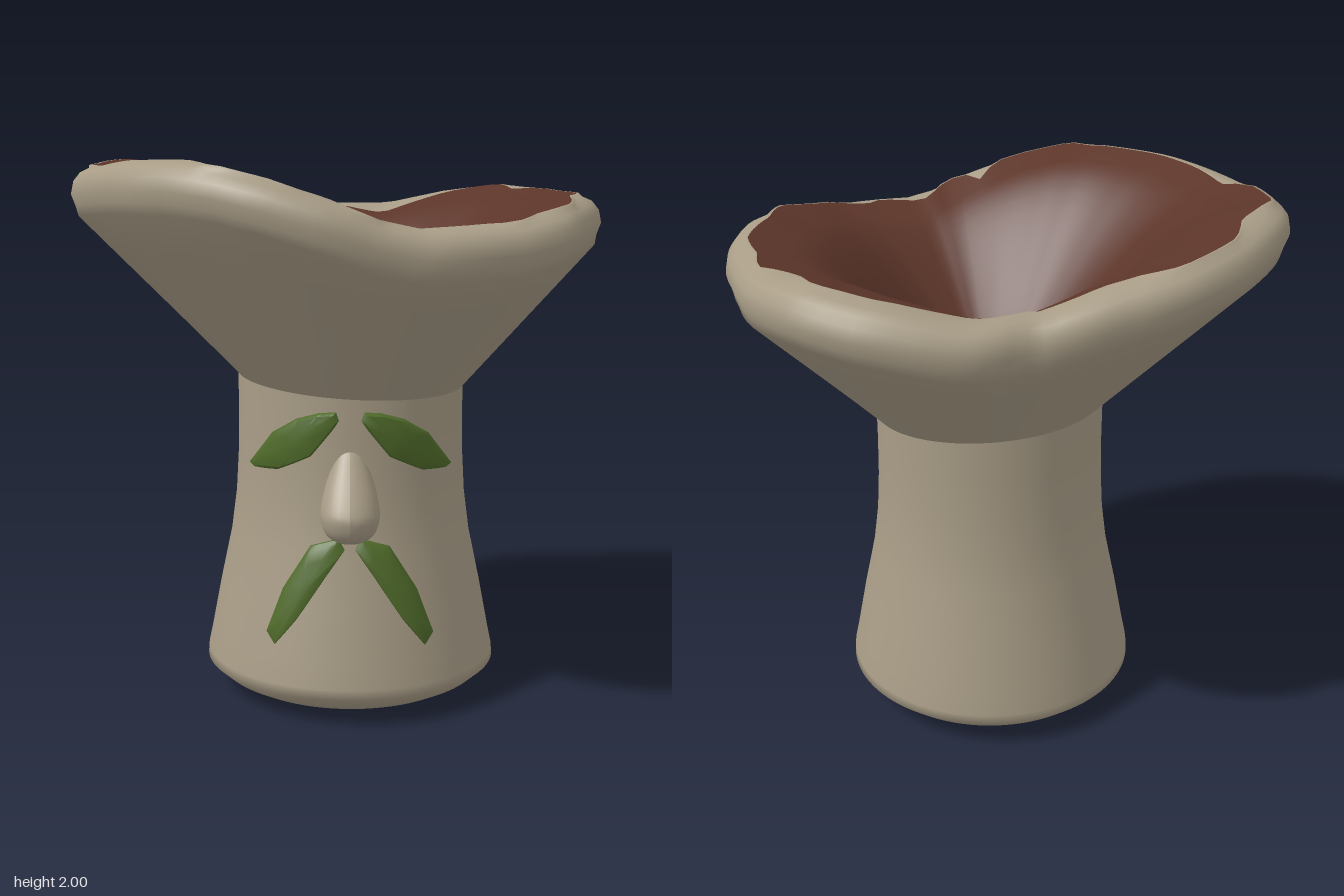
import * as THREE from 'three';
import { toCreasedNormals } from 'three/addons/utils/BufferGeometryUtils.js';

const SEG = 108;
const CX = 0.06; // stem axis
const clay = new THREE.MeshStandardMaterial({ color: 0xa89c86 });
const soil = new THREE.MeshStandardMaterial({ color: 0x5c3529 });
const green = new THREE.MeshStandardMaterial({ color: 0x4f6a2a });

// Closed rings of [x, y, z], running counter-clockwise about the direction of travel
function loft(rings) {
  const n = rings[0].length, index = [];
  for (let i = 0; i < rings.length - 1; i++) {
    for (let j = 0; j < n; j++) {
      const a = i * n + j, b = i * n + (j + 1) % n;
      index.push(a, b, b + n, a, b + n, a + n);
    }
  }
  const g = new THREE.BufferGeometry();
  g.setAttribute('position', new THREE.Float32BufferAttribute(rings.flat(2), 3));
  g.setIndex(index);
  g.computeVertexNormals();
  return g;
}

function addMesh(parent, name, geometry, material) {
  const mesh = new THREE.Mesh(geometry, material);
  mesh.name = name;
  parent.add(mesh);
}

const TAU = Math.PI * 2;
const ring = (fn) => Array.from({ length: SEG }, (_, j) => fn(j / SEG * TAU));
const lerp = THREE.MathUtils.lerp;

// Value at an angle from a list of [angle, value], wrapping round
function around(list) {
  const s = list.map(([a, v]) => [(a + TAU) % TAU, v]).sort((p, q) => p[0] - q[0]);
  const last = s[s.length - 1];
  const all = [[last[0] - TAU, last[1]], ...s, [s[0][0] + TAU, s[0][1]]];
  return (t) => {
    const i = Math.max(1, all.findIndex((p) => p[0] > t));
    const [a, b] = [all[i - 1], all[i]];
    return lerp(a[1], b[1], (t - a[0]) / (b[0] - a[0]));
  };
}
const polar = (pts) => around(pts.map(([x, z]) => [Math.atan2(-z, x), Math.hypot(x, z)]));

// Rim outline, ragged soil edge (both x, z) and rim height by angle
const rimRadius = polar([
  [0.05, -0.89], [0.19, -0.94], [0.32, -0.94], [0.55, -0.89], [0.74, -0.77], [0.9, -0.52],
  [0.95, -0.3], [0.98, 0], [0.95, 0.2], [0.9, 0.36], [0.78, 0.6], [0.62, 0.74], [0.44, 0.83],
  [0.2, 0.89], [0, 0.93], [-0.2, 0.91], [-0.35, 0.86], [-0.55, 0.74], [-0.75, 0.55],
  [-0.88, 0.34], [-0.96, 0.1], [-0.98, -0.05], [-0.97, -0.22], [-0.9, -0.41], [-0.76, -0.6],
  [-0.49, -0.8], [-0.25, -0.86]]);
const soilRadius = polar([
  [0, -0.75], [0.2, -0.72], [0.5, -0.76], [0.68, -0.67], [0.72, -0.52], [0.85, -0.42], [0.86, -0.25],
  [0.9, -0.05], [0.83, 0.22], [0.8, 0.45], [0.67, 0.57], [0.62, 0.65], [0.47, 0.67], [0.42, 0.72],
  [0.2, 0.75], [0.14, 0.86], [0.06, 0.86], [0.02, 0.75], [-0.04, 0.78], [-0.06, 0.86], [-0.2, 0.83],
  [-0.41, 0.77], [-0.42, 0.69], [-0.6, 0.55], [-0.77, 0.3], [-0.82, 0.08], [-0.9, 0], [-0.89, -0.25],
  [-0.72, -0.45], [-0.66, -0.6], [-0.45, -0.74], [-0.2, -0.72]]);
const rimHeight = around([
  [0, 1.87], [25, 1.88], [45, 1.9], [60, 1.87], [75, 1.82], [90, 1.82], [105, 1.88], [125, 1.94],
  [145, 1.985], [158, 2], [170, 1.98], [190, 1.965], [215, 1.985], [235, 1.985], [246, 1.965], [257, 1.925],
  [270, 1.86], [280, 1.8], [290, 1.77], [310, 1.785], [330, 1.84], [345, 1.865]].map(([d, v]) => [d * Math.PI / 180, v]));

// Stem half-widths by height: [radius, y]
const stemProfile = [[0, 0], [0.25, 0.012], [0.45, 0.03], [0.505, 0.06], [0.555, 0.105], [0.552, 0.14],
  [0.535, 0.22], [0.5, 0.4], [0.457, 0.6], [0.437, 0.75], [0.428, 0.9], [0.425, 1.05], [0.425, 1.26]];
function stemRadius(y) {
  const i = stemProfile.findIndex((p) => p[1] > y);
  const [a, b] = [stemProfile[i - 1], stemProfile[i]];
  return lerp(a[0], b[0], (y - a[1]) / (b[1] - a[1]));
}

function stemGeometry() {
  return loft(stemProfile.map(([r, y]) => ring((t) => [CX + r * Math.cos(t), y, -r * Math.sin(t)])));
}

// Point on the lip's inner shelf
const shelf = (t, r) => [r * Math.cos(t), rimHeight(t) - 0.35 * Math.max(0, 0.88 - r / rimRadius(t)), -r * Math.sin(t)];
const soilEdge = (t) => shelf(t, soilRadius(t));

// Flared wall, rolled lip and the lip's inner slope down to the soil edge
function bowlGeometry() {
  const wall = [0, 0.25, 0.5, 0.75, 0.96].map((f) => ring((t) => {
    const c = Math.cos(t), s = Math.sin(t), R = rimRadius(t);
    const base = 1.19 - 0.025 * c + 0.025 * s;
    return [lerp(CX + 0.425 * c, R * c, f), lerp(base, rimHeight(t) - 0.175, f / 0.96), -lerp(0.425, R, f) * s];
  }));
  const lip = [[0.985, 0.14], [1, 0.1], [0.99, 0.055], [0.965, 0.025], [0.93, 0.01], [0.88, 0]].map(([f, drop]) => ring((t) => {
    const R = rimRadius(t);
    const r = R * Math.max(f, Math.min(0.97, soilRadius(t) / R + 0.01));
    return [r * Math.cos(t), rimHeight(t) - drop, -r * Math.sin(t)];
  }));
  return loft([...wall, ...lip, ring(soilEdge)]);
}

// Ragged edge, narrow shelf, then an S-shaped fall to a low point over the stem
function hollowGeometry() {
  const steps = 16, low = 1.27;
  const fall = Array.from({ length: steps + 1 }, (_, i) => ring((t) => {
    const u = 1 - i / steps;
    const [, y] = shelf(t, 0.76 * rimRadius(t));
    const r = u * lerp(0.71, 0.76 * rimRadius(t), u);
    const rise = lerp(Math.pow(u, 1.2), u * u * (3 - 2 * u), 0.65);
    return [r * Math.cos(t) + 0.05 * (1 - u), lerp(low, y, rise), -r * Math.sin(t)];
  }));
  return loft([ring(soilEdge), ...fall]);
}

// Thick leaf wrapped on the stem's front, from an outline in x, y
function leafGeometry(outline, mirrored) {
  const pts = outline.map(([x, y]) => [mirrored ? 2 * CX - x : x, y]);
  if (mirrored) pts.reverse();
  const edge = pts.flatMap(([x, y], i) => {
    const [nx, ny] = pts[(i + 1) % pts.length];
    return [0, 0.25, 0.5, 0.75].map((k) => new THREE.Vector2(lerp(x, nx, k), lerp(y, ny, k)));
  });
  const mid = edge.reduce((m, p) => m.addScaledVector(p, 1 / edge.length), new THREE.Vector2());
  const layers = [[1, -0.03], [1, 0.012], [0.9, 0.025], [0.6, 0.03], [0.3, 0.033], [0, 0.035]];
  return toCreasedNormals(loft(layers.map(([f, lift]) => edge.map((p) => {
    const x = lerp(mid.x, p.x, f), y = lerp(mid.y, p.y, f), r = stemRadius(y);
    return [x, y, Math.sqrt(r * r - (x - CX) ** 2) + lift];
  }))), 0.7);
}

// Teardrop whose upper part leans back into the stem
function noseGeometry() {
  const profile = new THREE.SplineCurve([[0, 0.66], [0.05, 0.667], [0.09, 0.7], [0.105, 0.76], [0.095, 0.83],
    [0.068, 0.92], [0.042, 0.99], [0, 1.03]].map(([x, y]) => new THREE.Vector2(x, y))).getPoints(28);
  profile.forEach((p) => { p.x = Math.max(0, p.x); });
  const g = new THREE.LatheGeometry(profile, 32);
  const pos = g.attributes.position;
  for (let i = 0; i < pos.count; i++) {
    const lean = 0.4 * Math.max(0, pos.getY(i) - 0.76);
    pos.setXYZ(i, pos.getX(i) + CX, pos.getY(i), pos.getZ(i) + 0.465 - lean);
  }
  g.computeVertexNormals();
  return g;
}

export function createModel() {
  const model = new THREE.Group();
  model.name = 'facePlanter';
  addMesh(model, 'stem', stemGeometry(), clay);
  addMesh(model, 'bowl', bowlGeometry(), clay);
  addMesh(model, 'bowlHollow', hollowGeometry(), soil);
  addMesh(model, 'nose', noseGeometry(), clay);

  const brow = [[0.01, 1.12], [-0.05, 1.115], [-0.13, 1.09], [-0.22, 1.03], [-0.31, 0.9], [-0.29, 0.89], [-0.2, 0.9],
    [-0.08, 0.96], [0, 1.06], [0.02, 1.09]];
  const moustache = [[0.02, 0.67], [-0.08, 0.64], [-0.18, 0.48], [-0.24, 0.32], [-0.21, 0.28], [-0.13, 0.38],
    [-0.03, 0.53], [0.04, 0.63]];
  for (const [side, mirrored] of [['right', false], ['left', true]]) {
    addMesh(model, side + 'BrowLeaf', leafGeometry(brow, mirrored), green);
    addMesh(model, side + 'MoustacheLeaf', leafGeometry(moustache, mirrored), green);
  }
  return model;
}
